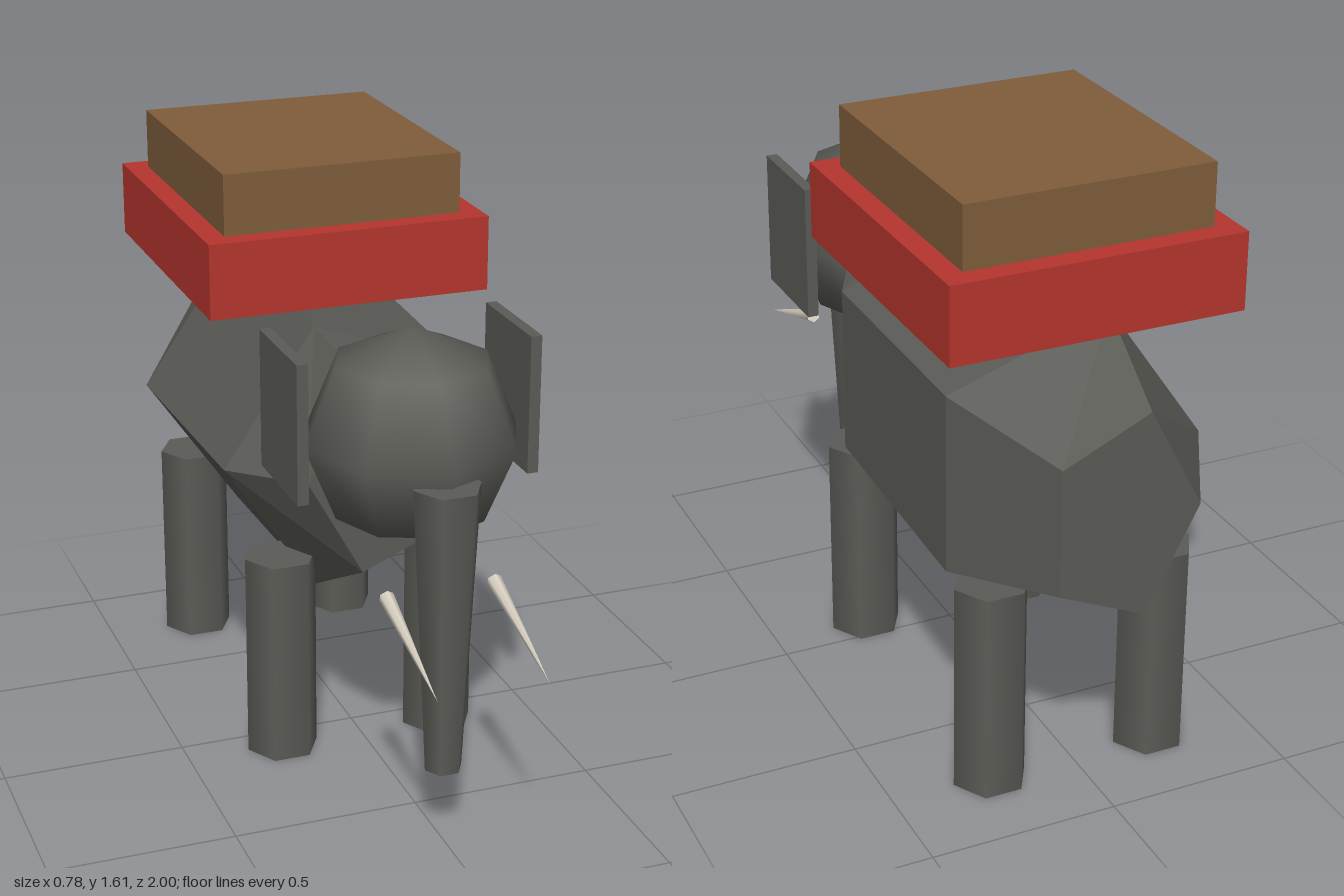
import * as THREE from 'three';

const mat = (name, color, extra = {}) =>
  Object.assign(new THREE.MeshStandardMaterial({ color, ...extra }), { name });

// Five-sided torso lofted through rings of [z, centre y, x radius, y radius]
function torsoGeometry() {
  const rings = [
    [0.28, 0.865, 0.22, 0.289],
    [0.03, 0.8275, 0.37, 0.392],
    [-0.67, 0.8275, 0.39, 0.412],
    [-1.0, 0.825, 0.207, 0.289],
  ];
  const sides = 5;
  const pos = [];
  const index = [];
  for (const [z, cy, rx, ry] of rings) {
    for (let k = 0; k < sides; k++) {
      const a = Math.PI + (k / sides) * Math.PI * 2;
      pos.push(Math.cos(a) * rx, cy + Math.sin(a) * ry, z);
    }
  }
  const last = (rings.length - 1) * sides;
  for (let i = 0; i < rings.length - 1; i++) {
    for (let k = 0; k < sides; k++) {
      const a = i * sides + k;
      const b = i * sides + ((k + 1) % sides);
      index.push(a, a + sides, b, b, a + sides, b + sides);
    }
  }
  // Flat ends
  for (let k = 1; k < sides - 1; k++) {
    index.push(0, k, k + 1, last, last + k + 1, last + k);
  }
  const indexed = new THREE.BufferGeometry();
  indexed.setAttribute('position', new THREE.Float32BufferAttribute(pos, 3));
  indexed.setIndex(index);
  const geo = indexed.toNonIndexed();
  geo.computeVertexNormals();
  return geo;
}

// Six-sided post with corners pointing along x
const post = (top, bottom, height) =>
  new THREE.CylinderGeometry(top, bottom, height, 6).rotateY(Math.PI / 2);

export function createModel() {
  const model = new THREE.Group();
  model.name = 'elephant';
  const hide = mat('grey hide', 0x5b5b56);
  const red = mat('red cloth', 0xb5352e);
  const wood = mat('brown wood', 0x7f5d3a);
  const ivory = mat('ivory', 0xd8d0c2);

  const add = (name, geo, material, x, y, z) => {
    const mesh = new THREE.Mesh(geo, material);
    mesh.name = name;
    mesh.position.set(x, y, z);
    model.add(mesh);
    return mesh;
  };

  // Body, head and trunk
  add('torso', torsoGeometry(), hide, 0, 0, 0);
  add('head', new THREE.SphereGeometry(0.286, 8, 4), hide, 0, 1.035, 0.445);
  add('trunk', post(0.09, 0.05, 0.78), hide, 0, 0.6, 0.69);

  // Paired parts
  const tuskBase = new THREE.Vector3(0, 0.7, 0.655);
  const tuskTip = new THREE.Vector3(0, 0.578, 1.0);
  const tuskAxis = tuskTip.clone().sub(tuskBase);
  const tuskMid = tuskBase.clone().add(tuskTip).multiplyScalar(0.5);
  for (const [side, s] of [['left', 1], ['right', -1]]) {
    add(side + 'FrontLeg', post(0.1, 0.1, 0.58), hide, s * 0.23, 0.29, 0.075);
    add(side + 'BackLeg', post(0.1, 0.1, 0.58), hide, s * 0.23, 0.29, -0.75);
    add(side + 'Ear', new THREE.BoxGeometry(0.03, 0.37, 0.29), hide, s * 0.31, 1.095, 0.363);
    const tusk = add(side + 'Tusk', new THREE.ConeGeometry(0.02, tuskAxis.length(), 6), ivory,
      s * 0.145, tuskMid.y, tuskMid.z);
    tusk.quaternion.setFromUnitVectors(new THREE.Vector3(0, 1, 0), tuskAxis.clone().normalize());
  }

  // Saddle cloth and carrier on the back
  add('saddleCloth', new THREE.BoxGeometry(0.78, 0.205, 0.86), red, 0, 1.3425, -0.425);
  add('carrier', new THREE.BoxGeometry(0.66, 0.36, 0.74), wood, 0, 1.43, -0.425);
  return model;
}
